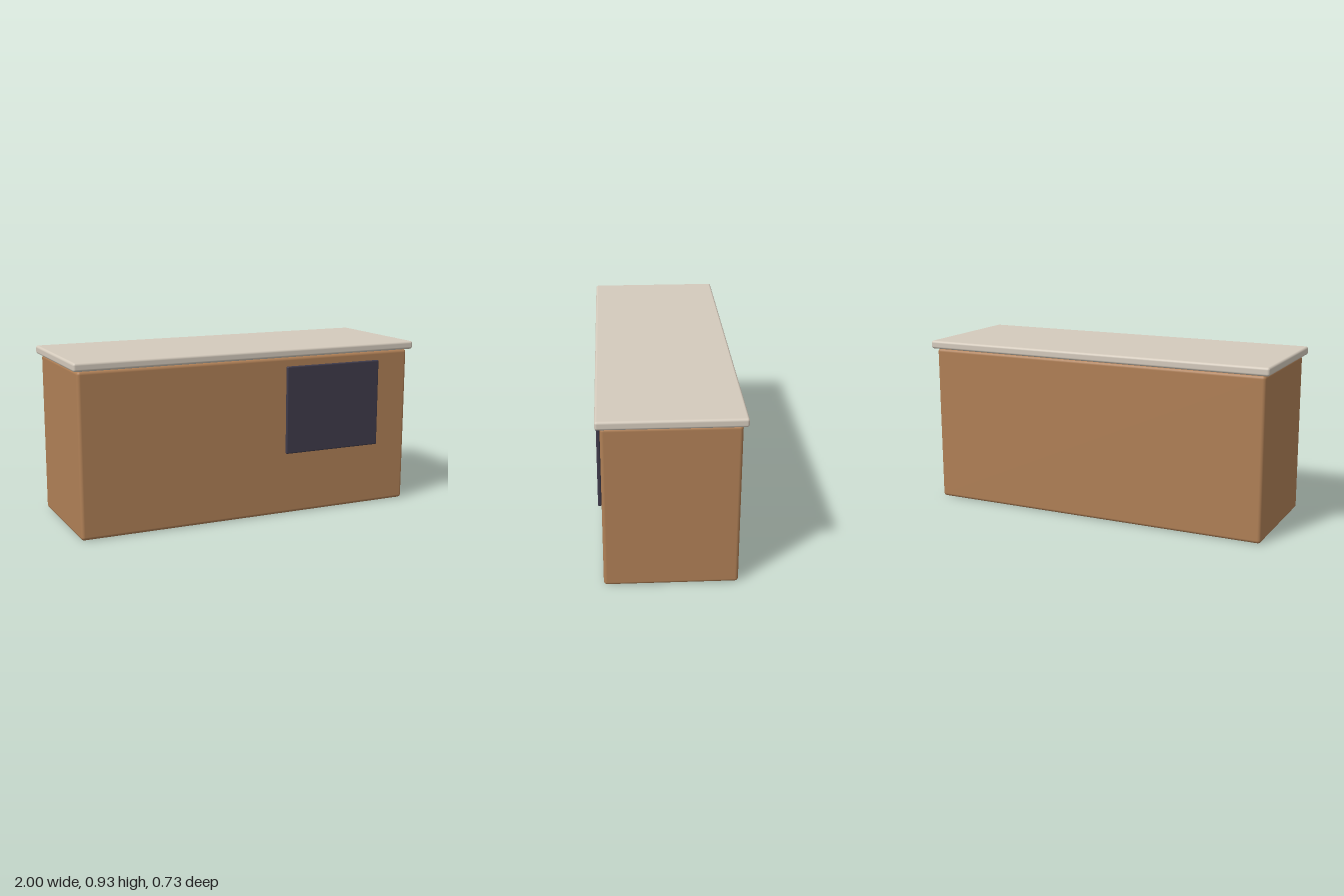
import * as THREE from 'three';
import { RoundedBoxGeometry } from 'three/addons/geometries/RoundedBoxGeometry.js';

// Rounded block given by its min and max corners
function block(name, min, max, radius, color) {
  const size = max.map((v, i) => v - min[i]);
  const mesh = new THREE.Mesh(
    new RoundedBoxGeometry(...size, 4, radius),
    new THREE.MeshStandardMaterial({ color })
  );
  mesh.name = name;
  mesh.position.set(...max.map((v, i) => (v + min[i]) / 2));
  return mesh;
}

export function createModel() {
  const group = new THREE.Group();
  group.name = 'counter';
  group.add(
    // wooden cabinet
    block('cabinetBody', [-0.975, 0, -0.34], [0.975, 0.88, 0.34], 0.018, 0xb08056),
    // overhanging slab
    block('countertop', [-1, 0.882, -0.364], [1, 0.927, 0.364], 0.013, 0xd4cabc),
    // dark panel on the front, towards the left end
    block('frontPanel', [0.195, 0.345, 0.342], [0.777, 0.831, 0.361], 0.007, 0x3f3b4b)
  );
  return group;
}
